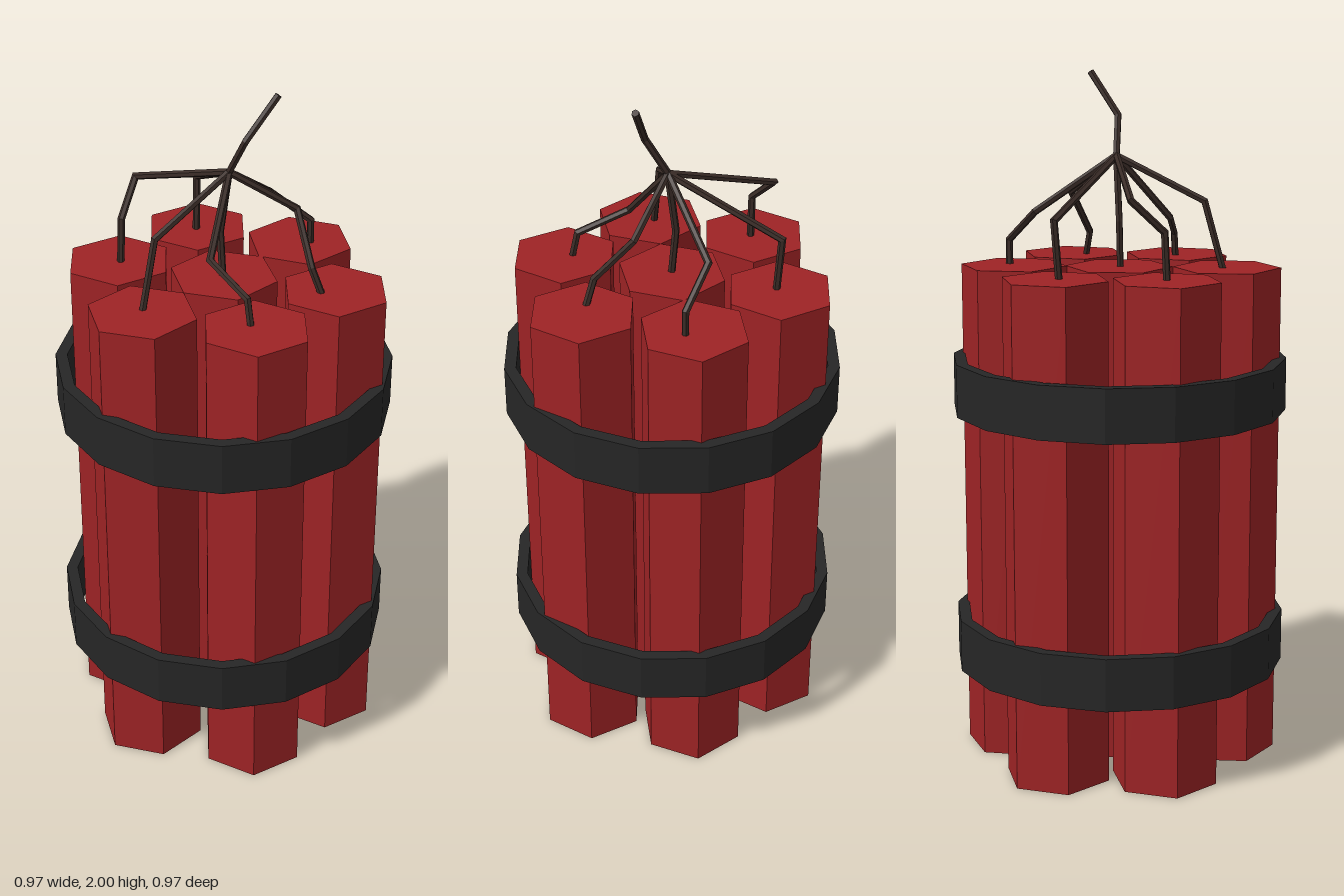
import * as THREE from 'three';

const mat = (name, color) => {
  const m = new THREE.MeshStandardMaterial({ color });
  m.name = name;
  return m;
};

// Facets every face
function flat(geometry) {
  const g = geometry.index ? geometry.toNonIndexed() : geometry;
  g.computeVertexNormals();
  return g;
}

// Hexagonal cord with mitred corners along a list of points
function cord(points, radius) {
  const p = points.map((a) => new THREE.Vector3(...a));
  const dirs = p.slice(1).map((q, i) => q.clone().sub(p[i]).normalize());
  const side = new THREE.Vector3(0, 0, 1).cross(dirs[0]);
  if (side.length() < 0.2) side.set(1, 0, 0).cross(dirs[0]);
  side.normalize();
  const sides = 6;
  const rings = [[]];
  for (let i = 0; i < sides; i++) {
    const offset = side.clone().applyAxisAngle(dirs[0], (i / sides) * Math.PI * 2);
    rings[0].push(offset.multiplyScalar(radius).add(p[0]));
  }
  // Slide each ring along its segment onto the next mitre plane
  dirs.forEach((d, k) => {
    const n = d.clone().add(dirs[k + 1] || d).normalize();
    rings.push(rings[k].map((v) => {
      const t = p[k + 1].clone().sub(v).dot(n) / d.dot(n);
      return v.clone().addScaledVector(d, t);
    }));
  });
  const tris = [];
  const last = rings.length - 1;
  for (let i = 0; i < sides; i++) {
    const j = (i + 1) % sides;
    for (let k = 0; k < last; k++) {
      const [a, b, c, d] = [rings[k][i], rings[k][j], rings[k + 1][j], rings[k + 1][i]];
      tris.push(a, b, c, a, c, d);
    }
    tris.push(p[0], rings[0][j], rings[0][i]);
    tris.push(p[last], rings[last][i], rings[last][j]);
  }
  return flat(new THREE.BufferGeometry().setFromPoints(tris));
}

export function createModel() {
  const model = new THREE.Group();
  model.name = 'stickBundle';
  const red = mat('red paper', 0x9e2325);
  const black = mat('black strap', 0x262626);
  const brown = mat('dark brown cord', 0x3a2c27);

  const add = (name, geometry, material) => {
    const mesh = new THREE.Mesh(geometry, material);
    mesh.name = name;
    model.add(mesh);
    return mesh;
  };

  // Hexagonal sticks: x, z, turn
  const height = 1.45;
  const stickGeometry = flat(new THREE.CylinderGeometry(0.155, 0.155, height, 6));
  const sticks = {
    centreStick: [0, 0, 0],
    frontStick: [0, 0.31, 0],
    backStick: [0.002, -0.304, -0.08],
    leftBackStick: [0.28, -0.157, -0.23],
    leftFrontStick: [0.278, 0.152, -0.23],
    rightFrontStick: [-0.271, 0.152, -0.23],
    rightBackStick: [-0.271, -0.156, -0.23],
  };
  for (const [name, [x, z, turn]] of Object.entries(sticks)) {
    const stick = add(name, stickGeometry, red);
    stick.position.set(x, height / 2, z);
    stick.rotation.y = turn;
  }

  // Two sixteen-sided straps
  const profile = [[0.45, 0], [0.484, 0], [0.484, 0.153], [0.45, 0.153], [0.45, 0]];
  const strapGeometry = flat(
    new THREE.LatheGeometry(profile.map(([x, y]) => new THREE.Vector2(x, y)), 16));
  add('lowerStrap', strapGeometry, black).position.y = 0.277;
  add('upperStrap', strapGeometry, black).position.y = 1.036;

  // Fuses fan out from one knot, each ending inside its stick
  const knot = [0.012, 1.765, -0.008];
  const fuses = {
    mainFuse: [[0.075, 1.875, -0.008], [0.115, 1.995, -0.09]],
    centreFuse: [[-0.012, 1.58, 0.002], [0, 1.44, 0.004]],
    frontFuse: [[-0.015, 1.64, 0.245], [-0.01, 1.44, 0.3]],
    backFuse: [[-0.05, 1.61, -0.235], [0.03, 1.52, -0.32], [0.03, 1.44, -0.32]],
    leftBackFuse: [[0.135, 1.65, -0.15], [0.237, 1.52, -0.105], [0.265, 1.44, -0.12]],
    leftFrontFuse: [[0.092, 1.58, 0.142], [0.24, 1.52, 0.147], [0.257, 1.44, 0.15]],
    rightFrontFuse: [[-0.3, 1.67, 0.055], [-0.263, 1.58, 0.145], [-0.263, 1.44, 0.152]],
    rightBackFuse: [[-0.272, 1.61, -0.157], [-0.264, 1.44, -0.145]],
  };
  for (const [name, path] of Object.entries(fuses)) {
    add(name, cord([knot, ...path], 0.0105), brown);
  }
  return model;
}
